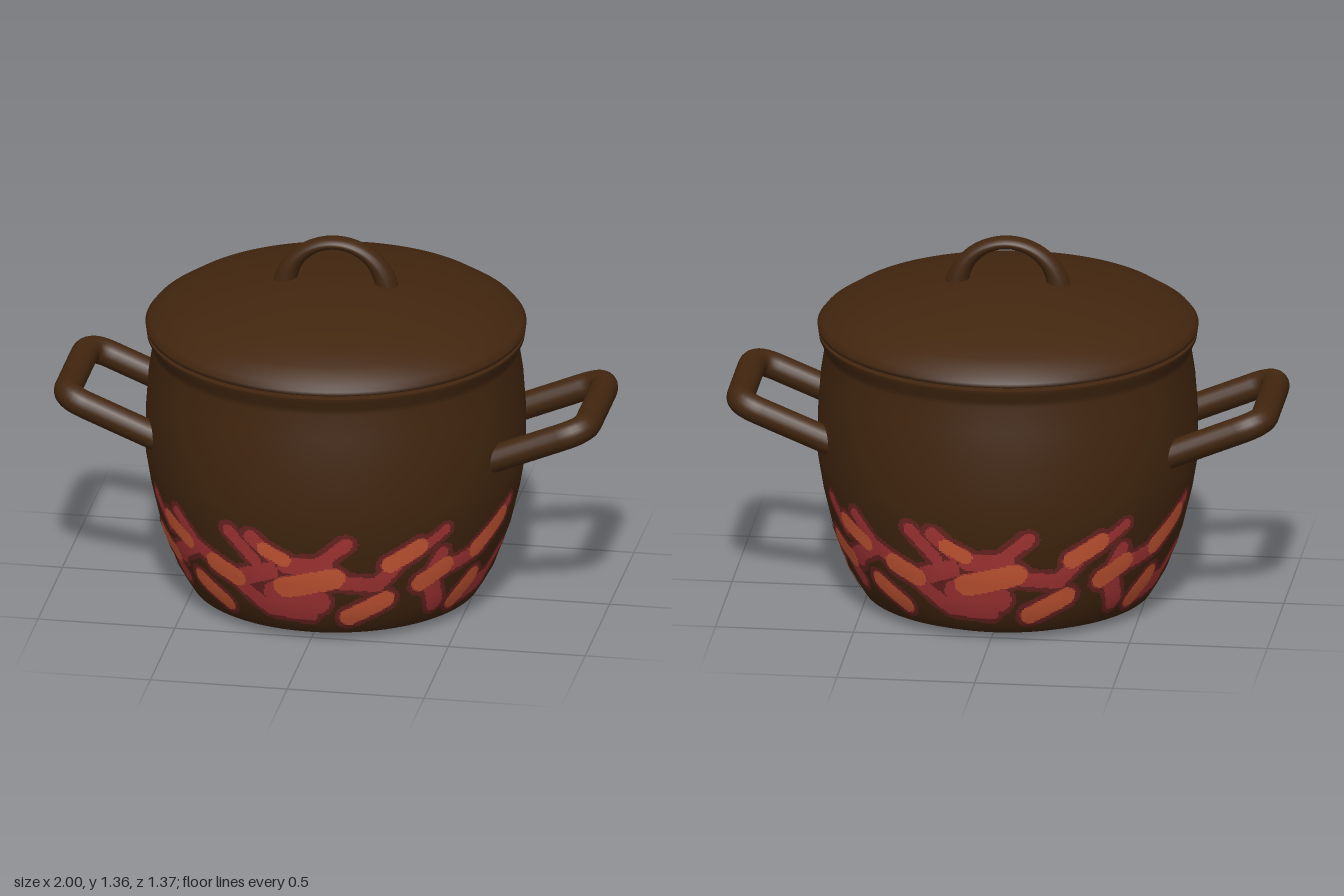
import * as THREE from 'three';

const paint = (name, color) => {
  const m = new THREE.MeshStandardMaterial({ color });
  m.name = name;
  return m;
};

// outer wall, radius and height from bottom to rim
const WALL = [[0.44, 0], [0.52, 0.03], [0.545, 0.07], [0.578, 0.13], [0.632, 0.28], [0.665, 0.42], [0.685, 0.54],
  [0.684, 0.7], [0.674, 0.84], [0.66, 0.93], [0.666, 0.955], [0.68, 0.985], [0.682, 1.0]];

function wallRadius(y) {
  let i = 1;
  while (i < WALL.length - 1 && WALL[i][1] < y) i++;
  const [r0, y0] = WALL[i - 1], [r1, y1] = WALL[i];
  return r0 + (r1 - r0) * (y - y0) / (y1 - y0);
}

// brush strokes on half the pot: start angle, height, end angle, height, brush radius
const ORANGE = [
  [-55, 0.38, -45, 0.33, 0.033], [-66, 0.27, -58, 0.23, 0.04], [-33, 0.28, -25, 0.245, 0.04],
  [-43, 0.18, -33, 0.11, 0.036], [-80, 0.18, -72, 0.105, 0.036], [-13, 0.39, -7, 0.355, 0.028],
  [-7, 0.235, 9, 0.285, 0.045], [28, 0.335, 37, 0.39, 0.035], [40, 0.235, 48, 0.28, 0.04],
  [15, 0.11, 27, 0.18, 0.038], [58, 0.11, 64, 0.18, 0.042], [62, 0.315, 74, 0.395, 0.038],
];
const RED = [
  [-82, 0.31, -76, 0.24, 0.018], [-76, 0.24, -52, 0.24, 0.03], [-63, 0.44, -56, 0.35, 0.022],
  [-48, 0.43, -40, 0.33, 0.025], [-55, 0.15, -60, 0.22, 0.03], [-57, 0.23, -40, 0.33, 0.03],
  [-40, 0.33, -25, 0.25, 0.03], [-25, 0.44, -17, 0.34, 0.025], [-17, 0.43, -10, 0.36, 0.03],
  [-25, 0.24, -12, 0.3, 0.035], [-24, 0.22, -14, 0.13, 0.03], [-14, 0.13, 1, 0.12, 0.03],
  [-10, 0.2, 3, 0.18, 0.055], [0, 0.3, 13, 0.43, 0.025], [-6, 0.33, 6, 0.34, 0.035],
  [10, 0.27, 24, 0.25, 0.03], [24, 0.25, 31, 0.35, 0.03], [38, 0.38, 46, 0.44, 0.02],
  [46, 0.34, 42, 0.25, 0.028], [48, 0.12, 44, 0.22, 0.035], [48, 0.27, 64, 0.31, 0.03],
  [70, 0.38, 78, 0.44, 0.02], [62, 0.12, 72, 0.14, 0.04], [72, 0.14, 82, 0.24, 0.022],
];

const ARC = 0.62 * Math.PI / 180; // arc length of one degree on the wall

function nearest(strokes, deg, y) {
  let best = 9;
  for (const [a, ya, b, yb, r] of strokes) {
    const dx = (b - a) * ARC, dy = yb - ya, px = (deg - a) * ARC, py = y - ya;
    const t = THREE.MathUtils.clamp((px * dx + py * dy) / (dx * dx + dy * dy), 0, 1);
    best = Math.min(best, Math.hypot(px - t * dx, py - t * dy) - r);
  }
  return best;
}

// thin painted skin following the wall, one geometry per colour
function flameGeometries() {
  const lists = [0, 1, 2].map(() => ({ pos: [], nor: [] }));
  const NA = 260, NY = 62, Y0 = 0.05, Y1 = 0.49;
  const put = (list, i, j) => {
    const a = (-90 + 180 * i / NA) * Math.PI / 180, y = Y0 + (Y1 - Y0) * j / NY;
    const r = wallRadius(y) + 0.004;
    const slope = (wallRadius(y + 0.04) - wallRadius(y - 0.04)) / 0.08;
    const n = new THREE.Vector3(Math.sin(a), -slope, Math.cos(a)).normalize();
    list.pos.push(r * Math.sin(a), y, r * Math.cos(a));
    list.nor.push(n.x, n.y, n.z);
  };
  for (let i = 0; i < NA; i++) {
    for (let j = 0; j < NY; j++) {
      const deg = -90 + 180 * (i + 0.5) / NA, y = Y0 + (Y1 - Y0) * (j + 0.5) / NY;
      const dOrange = nearest(ORANGE, deg, y);
      const dRed = Math.min(nearest(RED, deg, y), dOrange - 0.003);
      if (dRed > 0.018) continue;
      const list = lists[dOrange < 0 ? 0 : dRed < 0 ? 1 : 2];
      for (const [di, dj] of [[0, 0], [1, 0], [1, 1], [0, 0], [1, 1], [0, 1]]) put(list, i + di, j + dj);
    }
  }
  return lists.map(({ pos, nor }) => {
    const g = new THREE.BufferGeometry();
    g.setAttribute('position', new THREE.Float32BufferAttribute(pos, 3));
    g.setAttribute('normal', new THREE.Float32BufferAttribute(nor, 3));
    return g;
  });
}

export function createModel() {
  const model = new THREE.Group();
  model.name = 'cookingPot';
  const brown = paint('brownEnamel', 0x42260f);
  const flamePaints = [paint('orangePaint', 0xcf5a36), paint('redPaint', 0xaa3637), paint('darkRedPaint', 0x6c2622)];

  const add = (name, geometry, material = brown) => {
    const mesh = new THREE.Mesh(geometry, material);
    mesh.name = name;
    model.add(mesh);
    return mesh;
  };
  const lathe = (points) => new THREE.LatheGeometry(points.map(([x, y]) => new THREE.Vector2(x, y)), 96);

  // body, base and hollow inside
  add('potWall', lathe(WALL));
  add('potBase', lathe([[0, 0], [0.44, 0]]));
  add('potRim', lathe([[0.682, 1.0], [0.63, 1.0]]));
  add('potInside', lathe([[0.63, 1.0], [0.62, 0.93], [0.64, 0.6], [0.59, 0.28], [0.48, 0.06], [0, 0.05]]));

  // lid
  add('lidUnderside', lathe([[0, 0.985], [0.628, 0.985], [0.63, 1.01], [0.67, 1.01]]));
  add('lid', lathe([[0.67, 1.01], [0.684, 1.015], [0.686, 1.03], [0.67, 1.05], [0.6, 1.095], [0.5, 1.128],
    [0.4, 1.152], [0.28, 1.176], [0.15, 1.192], [0.06, 1.198], [0, 1.199]]));

  // lid handle: half ring, thinner and lower at the top
  const ring = new THREE.TorusGeometry(0.187, 0.045, 20, 40, Math.PI);
  const p = ring.attributes.position;
  for (let i = 0; i < p.count; i++) {
    const r = Math.hypot(p.getX(i), p.getY(i));
    const c = p.getX(i) / r, s = p.getY(i) / r;
    const r2 = THREE.MathUtils.lerp(r, 0.08 + 0.5 * r, Math.max(s, 0));
    p.setXYZ(i, c * r2, s * r2, p.getZ(i) * (1 - 0.12 * s));
  }
  ring.computeVertexNormals();
  add('lidHandle', ring).position.y = 1.16;

  // side handles: rising loops with rounded corners
  const V = (x, y, z) => new THREE.Vector3(x, y, z);
  const path = new THREE.CurvePath();
  const a = V(0.58, 0.62, 0.247), b = V(0.86, 0.735, 0.247), corner = V(0.95, 0.772, 0.25), c = V(0.95, 0.765, 0.16);
  const flip = (v) => V(v.x, v.y, -v.z);
  path.add(new THREE.LineCurve3(a, b));
  path.add(new THREE.QuadraticBezierCurve3(b, corner, c));
  path.add(new THREE.LineCurve3(c, flip(c)));
  path.add(new THREE.QuadraticBezierCurve3(flip(c), flip(corner), flip(b)));
  path.add(new THREE.LineCurve3(flip(b), flip(a)));
  const handle = new THREE.TubeGeometry(path, 80, 0.05, 18);
  add('leftHandle', handle);
  add('rightHandle', handle).rotation.y = Math.PI;

  // painted flames, the same on front and back
  const names = ['flameOrange', 'flameRed', 'flameEdge'];
  flameGeometries().forEach((g, i) => {
    add(names[i] + 'Front', g, flamePaints[i]);
    add(names[i] + 'Back', g, flamePaints[i]).rotation.y = Math.PI;
  });
  return model;
}
